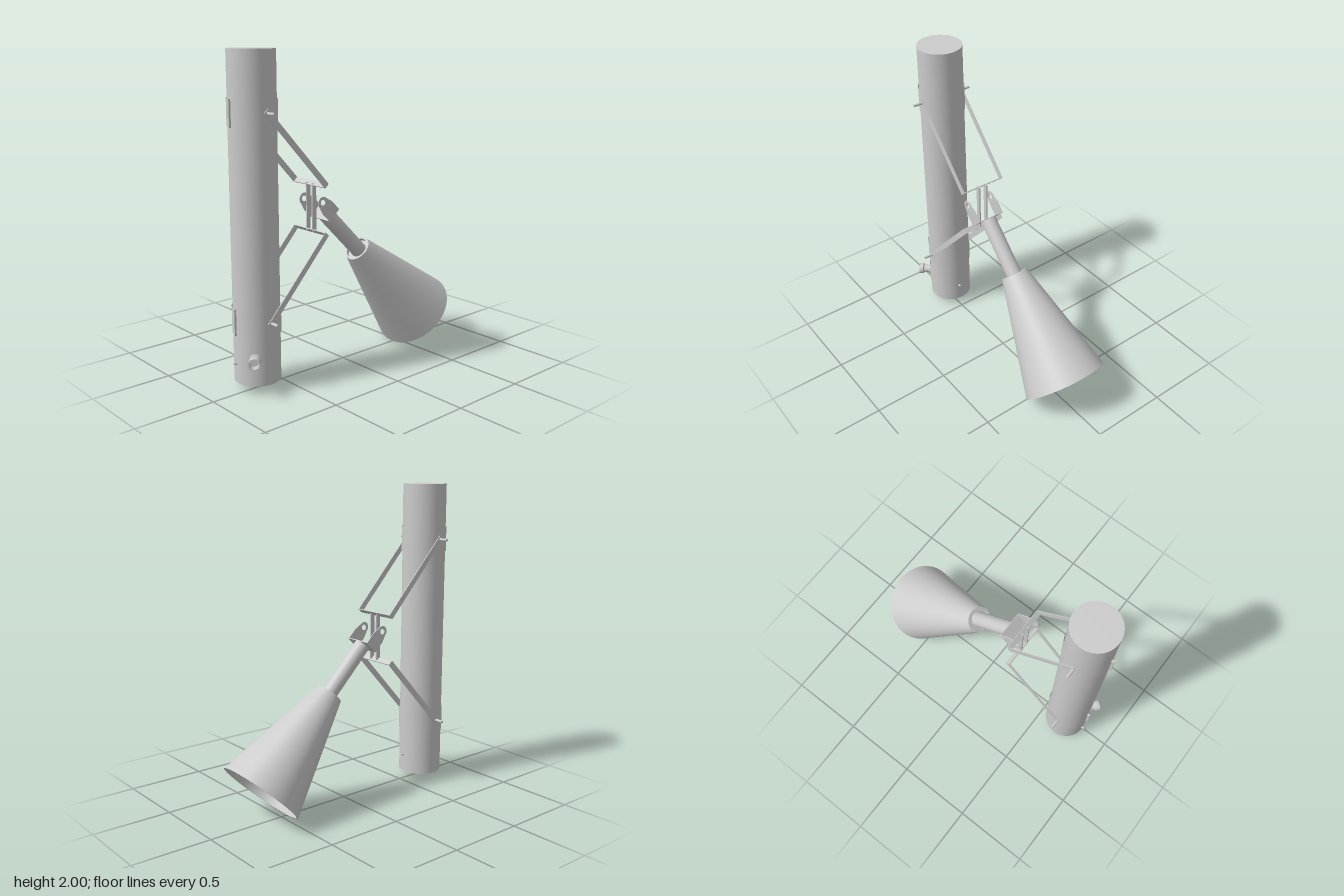
import * as THREE from 'three';

const grey = new THREE.MeshStandardMaterial({ color: 0xcccccc });
const thin = new THREE.MeshStandardMaterial({ color: 0xcccccc, side: THREE.DoubleSide });
const POLE_X = -0.02, POLE_Z = 0.667, POLE_R = 0.14;

function add(parent, name, geometry, x = 0, y = 0, z = 0, material = grey) {
  const mesh = new THREE.Mesh(geometry, material);
  mesh.name = name;
  mesh.position.set(x, y, z);
  parent.add(mesh);
  return mesh;
}

// Lathe with each profile segment kept crisp by doubling its corner points
function lathe(points, segments = 48) {
  const profile = [];
  points.forEach(([r, y], i) => {
    profile.push(new THREE.Vector2(r, y));
    if (i > 0 && i < points.length - 1) profile.push(new THREE.Vector2(r, y + 1e-5));
  });
  return new THREE.LatheGeometry(profile, segments);
}

function group(parent, name, x, y, z) {
  const g = new THREE.Group();
  g.name = name;
  g.position.set(x, y, z);
  parent.add(g);
  return g;
}

function buildPole(model) {
  const pole = group(model, 'pole', POLE_X, 0, POLE_Z);
  // Tube is open below and capped above
  add(pole, 'poleTube', new THREE.CylinderGeometry(POLE_R, POLE_R, 1.945, 64, 1, true), 0, 1.0275, 0, thin);
  const cap = add(pole, 'poleCap', new THREE.CircleGeometry(POLE_R, 64), 0, 2, 0);
  cap.rotation.x = -Math.PI / 2;

  for (const y of [1.648, 0.433]) {
    // Clamp band with its front flange and cross bolt
    add(pole, 'clampBand', new THREE.CylinderGeometry(0.145, 0.145, 0.16, 64, 1, true), 0, y, 0, thin);
    add(pole, 'clampFlange', new THREE.BoxGeometry(0.01, 0.16, 0.02), -0.005, y, 0.148);
    for (const s of [-1, 1]) {
      const bolt = add(pole, 'clampBolt', new THREE.CylinderGeometry(0.009, 0.009, 0.08, 16), s * 0.168, y, 0);
      bolt.rotation.z = Math.PI / 2;
    }
  }
  // Small screws near the foot
  for (const s of [-1, 1]) {
    const screw = add(pole, 'footScrew', new THREE.CylinderGeometry(0.007, 0.007, 0.04, 12), s * -0.018, 0.175, s * 0.138);
    screw.rotation.x = Math.PI / 2;
  }
}

function buildSocket(model) {
  const angle = THREE.MathUtils.degToRad(49);
  const socket = group(model, 'socket', POLE_X, 0.222, POLE_Z);
  socket.rotation.y = angle;
  // Curved mounting plate
  const span = THREE.MathUtils.degToRad(65);
  add(socket, 'socketPlate', new THREE.CylinderGeometry(0.145, 0.145, 0.145, 16, 1, true, -span / 2, span), 0, 0, 0, thin);
  // Waisted connector with a hollow mouth
  const connector = add(socket, 'connector', lathe([
    [0.036, 0.12], [0.036, 0.152], [0.026, 0.157], [0.026, 0.188], [0.037, 0.195],
    [0.037, 0.222], [0.027, 0.222], [0.027, 0.175], [0, 0.175],
  ], 32), 0, 0, 0, thin);
  connector.rotation.x = Math.PI / 2;
}

// U-shaped strap running from the pole bolts to a cross bar
function buildStrap(model, name, startY, endY) {
  const g = group(model, name, POLE_X, 0, 0);
  const dy = endY - startY, dz = 0.245 - 0.665;
  const tilt = Math.atan2(-dy, dz);
  const length = Math.hypot(dy, dz);
  const ext = 0.02;
  const cy = startY + dy * (0.5 - ext / length / 2);
  const cz = 0.665 + dz * (0.5 - ext / length / 2);
  for (const s of [-1, 1]) {
    const arm = add(g, 'strapArm', new THREE.BoxGeometry(0.006, 0.036, length + ext), s * 0.147, cy, cz);
    arm.rotation.x = tilt;
  }
  const bar = add(g, 'strapCrossBar', new THREE.BoxGeometry(0.3, 0.036, 0.006), 0, endY, 0.245);
  bar.rotation.x = tilt;
}

function buildLamp(model) {
  // Local +y points down and back along the lamp axis
  const lamp = group(model, 'lamp', 0, 1.085, 0.245);
  lamp.rotation.x = -Math.PI * 0.75;

  // Yoke cheek with rounded end and pivot hole
  const cheek = new THREE.Shape();
  cheek.moveTo(-0.05, 0.13);
  cheek.lineTo(-0.05, 0.05);
  cheek.lineTo(-0.036, 0);
  cheek.absarc(0, 0, 0.036, Math.PI, Math.PI * 2, false);
  cheek.lineTo(0.05, 0.05);
  cheek.lineTo(0.05, 0.13);
  const hole = new THREE.Path();
  hole.absarc(0, 0, 0.018, 0, Math.PI * 2, true);
  cheek.holes.push(hole);
  const cheekGeometry = new THREE.ExtrudeGeometry(cheek, { depth: 0.006, bevelEnabled: false, curveSegments: 20 });
  cheekGeometry.rotateY(Math.PI / 2);
  for (const x of [-0.088, 0.09]) add(lamp, 'yokeCheek', cheekGeometry, x, 0, 0);
  add(lamp, 'yokeBase', new THREE.BoxGeometry(0.18, 0.006, 0.1), 0.004, 0.127, 0);

  add(lamp, 'stem', new THREE.CylinderGeometry(0.05, 0.05, 0.42, 40), 0.003, 0.335, 0);

  // Hollow bell: recessed neck disc, rim, flared wall and inner wall
  add(lamp, 'bell', lathe([
    [0, 0.535], [0.074, 0.535], [0.074, 0.515], [0.087, 0.515],
    [0.269, 1.26], [0.259, 1.26], [0.078, 0.54], [0, 0.54],
  ], 64), 0, 0, 0, thin);
}

export function createModel() {
  const model = new THREE.Group();
  model.name = 'poleMountedHorn';
  buildPole(model);
  buildSocket(model);
  buildStrap(model, 'upperStrap', 1.648, 1.192);
  buildStrap(model, 'lowerStrap', 0.433, 0.895);
  // Pair of upright bars joining the two straps
  for (const x of [-0.045, 0.01]) {
    add(model, 'uprightBar', new THREE.BoxGeometry(0.008, 0.3, 0.03), x, 1.043, 0.245);
  }
  buildLamp(model);
  return model;
}
